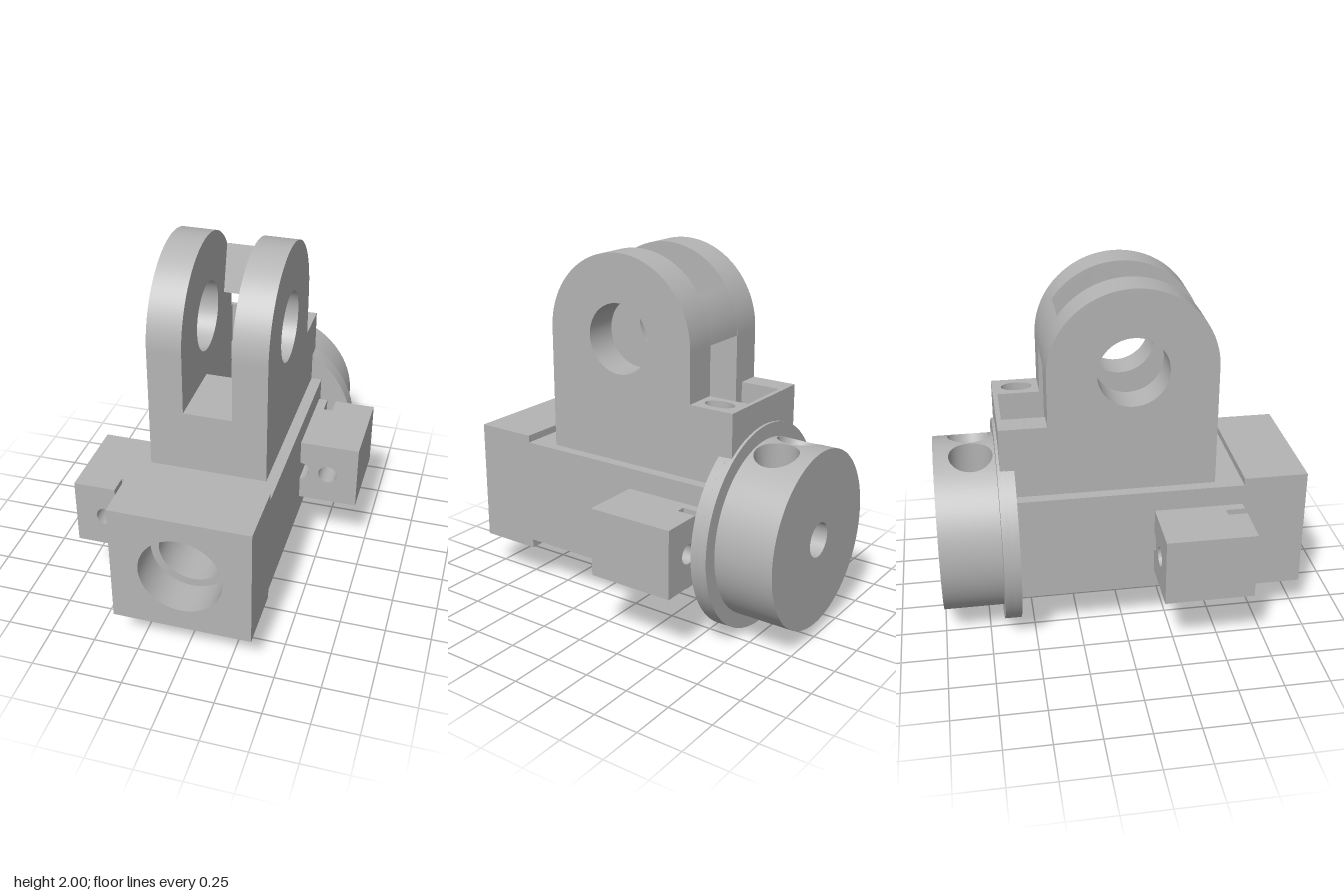
import * as THREE from 'three';
import { toCreasedNormals } from 'three/addons/utils/BufferGeometryUtils.js';

const AXIS_Y = 0.565; // height of the bore axis

export function createModel() {
  const root = new THREE.Group();
  const steel = new THREE.MeshStandardMaterial({ color: 0xb4b4b4, side: THREE.DoubleSide });
  steel.name = 'steel grey';

  const add = (name, geometry, parent = root) => {
    const mesh = new THREE.Mesh(toCreasedNormals(geometry, 0.5), steel);
    mesh.name = name;
    parent.add(mesh);
    return mesh;
  };
  const poly = (pts) => new THREE.Shape(pts.map(([x, y]) => new THREE.Vector2(x, y)));
  const rect = (x0, x1, y0, y1) => poly([[x0, y0], [x1, y0], [x1, y1], [x0, y1]]);
  const drill = (shape, x, y, rx, ry = rx) => {
    const hole = new THREE.Path();
    hole.absellipse(x, y, rx, ry, 0, Math.PI * 2, true);
    shape.holes.push(hole);
    return shape;
  };
  const raw = (shape, depth) =>
    new THREE.ExtrudeGeometry(shape, { depth, bevelEnabled: false, curveSegments: 36 });
  // Extrusions along each axis
  const alongZ = (shape, z0, z1) => raw(shape, z1 - z0).translate(0, 0, z0);
  const alongX = (shape, x0, x1) => raw(shape, x1 - x0).rotateY(Math.PI / 2).translate(x0, 0, 0); // shape is (-z, y)
  const alongY = (shape, y0, y1) => raw(shape, y1 - y0).rotateX(-Math.PI / 2).translate(0, y0, 0); // shape is (x, -z)
  const box = (x0, x1, y0, y1, z0, z1) =>
    new THREE.BoxGeometry(x1 - x0, y1 - y0, z1 - z0).translate((x0 + x1) / 2, (y0 + y1) / 2, (z0 + z1) / 2);

  // Front housing with a stepped blind bore
  const small = () => rect(-0.375, 0.375, 0.27, 0.87);
  const big = () => rect(-0.375, 0.375, 0.22, 0.91);
  add('bodyCore', alongZ(small(), 0.09, 0.3));
  add('bodyBore', alongZ(drill(small(), 0, AXIS_Y, 0.18), 0.3, 0.65));
  add('frontBlockInner', alongZ(drill(big(), 0, AXIS_Y, 0.18), 0.65, 0.8));
  add('frontBlockOuter', alongZ(drill(big(), 0, AXIS_Y, 0.225), 0.8, 1));

  // Rear body walls around the vertical duct, which flares downward
  for (const s of [-1, 1]) {
    const wall = poly([[0.13, 0.87], [0.13, 0.56], [0.22, 0.27], [0.375, 0.27], [0.375, 0.87]].map(([x, y]) => [s * x, y]));
    add('ductWall', alongZ(wall, s > 0 ? -0.43 : -0.58, 0.09));
  }
  add('ductWallRelieved', alongZ(
    poly([[0.13, 0.87], [0.13, 0.56], [0.183, 0.39], [0.375, 0.39], [0.375, 0.87]]), -0.58, -0.43));

  // Flange: two front segments beside the duct, full plate behind
  for (const s of [-1, 1]) {
    const pts = [[0.13, 0.56], [0.13, 1.03], [0.315, 1.03]];
    const a0 = Math.atan2(0.465, 0.315), a1 = Math.atan2(-0.485, 0.28);
    for (let i = 0; i <= 36; i++) {
      const a = a0 + (a1 - a0) * i / 36;
      pts.push([0.565 * Math.cos(a), AXIS_Y + 0.565 * Math.sin(a)]);
    }
    add('flangeSegment', alongZ(poly(pts.map(([x, y]) => [s * x, y])), -0.63, -0.58));
  }
  const plate = new THREE.Shape().absarc(0, AXIS_Y, 0.565, 0, Math.PI * 2);
  add('flangePlate', alongZ(drill(plate, 0, AXIS_Y, 0.095), -0.67, -0.63));

  // Rear drum: wall, end face and central hole
  const R = 0.485, cell = 0.25;
  const tube = (r, start, length) => new THREE.CylinderGeometry(r, r, 0.33, 96, 1, true, start, length)
    .rotateX(-Math.PI / 2).translate(0, AXIS_Y, -0.835);
  add('drumWall', tube(R, 2 * cell, Math.PI * 2 - 4 * cell));
  add('drumHole', tube(0.095, 0, Math.PI * 2));
  add('drumEnd', new THREE.RingGeometry(0.095, R, 96).rotateY(Math.PI).translate(0, AXIS_Y, -1));

  // Two radial scoops in the top of the drum
  for (const s of [-1, 1]) {
    const N = 64, pos = [], index = [];
    const put = (rho, phi, z) => pos.push(rho * Math.sin(phi), AXIS_Y + rho * Math.cos(phi), z);
    for (let row = 0; row < 5; row++) {
      for (let i = 0; i <= N; i++) {
        const t = i / N * Math.PI * 2, c = Math.cos(t), d = Math.sin(t), m = Math.max(Math.abs(c), Math.abs(d));
        const edgePhi = cell * c / m, edgeZ = d / m * (d > 0 ? 0.13 : 0.2);
        const holePhi = 0.237 * c, holeZ = 0.118 * d;
        const k = [0, 0.5, 1, 1, 1][row], f = row === 4 ? 0 : 1;
        put(row < 3 ? R : R - 0.22,
          s * cell + f * (edgePhi + (holePhi - edgePhi) * k),
          -0.8 + f * (edgeZ + (holeZ - edgeZ) * k));
        if (row < 4 && i < N) {
          const a = row * (N + 1) + i, b = a + N + 1;
          index.push(a, a + 1, b, a + 1, b + 1, b);
        }
      }
    }
    const scoop = new THREE.BufferGeometry();
    scoop.setAttribute('position', new THREE.Float32BufferAttribute(pos, 3));
    scoop.setIndex(index);
    add('drumScoop', scoop);
  }

  // Clevis cheeks with round tops and pin holes
  for (const x0 of [-0.315, 0.13]) {
    const cheek = new THREE.Shape();
    cheek.moveTo(-0.5, 0.87);
    cheek.lineTo(0.4, 0.87);
    cheek.lineTo(0.4, 1.54);
    cheek.absarc(-0.05, 1.545, 0.45, 0, Math.PI, false);
    cheek.closePath();
    add('clevisCheek', alongX(drill(cheek, -0.05, 1.545, 0.19), x0, x0 + 0.185));
  }
  add('clevisFloor', box(-0.13, 0.13, 0.87, 1.21, 0.09, 0.5));

  // Rear web joining the cheeks above the window, following the round back
  const web = [[0.25, 1.54], [0.4, 1.54]];
  for (let i = 1; i <= 8; i++) {
    const a = 0.616 * i / 8;
    web.push([-0.05 + 0.45 * Math.cos(a), 1.545 + 0.45 * Math.sin(a)]);
  }
  add('clevisWeb', alongX(poly(web), -0.13, 0.13));

  // Rear step: U-shaped top with an oval hole, on two feet
  const step = poly([[-0.315, 0.4], [-0.19, 0.4], [-0.19, 0.63], [0.13, 0.63], [0.13, 0.4],
    [0.315, 0.4], [0.315, 0.655], [-0.315, 0.655]]);
  add('rearStep', alongY(drill(step, 0.22, 0.52, 0.052, 0.085), 1.03, 1.27));
  add('stepFootLeft', box(0.13, 0.315, 0.87, 1.03, -0.58, -0.4));
  add('stepFootRight', box(-0.315, -0.13, 0.87, 1.03, -0.58, -0.4));

  // Side lugs, the second turned half a revolution
  for (const side of [1, -1]) {
    const lug = new THREE.Group();
    lug.name = side > 0 ? 'leftLug' : 'rightLug';
    const main = new THREE.Shape();
    main.moveTo(0.375, 0.38);
    main.lineTo(0.705, 0.38);
    main.lineTo(0.705, 0.755);
    main.lineTo(0.375, 0.755);
    main.lineTo(0.375, AXIS_Y + 0.053);
    main.absarc(0.375, AXIS_Y, 0.053, Math.PI / 2, -Math.PI / 2, true);
    main.closePath();
    add('lugBlock', alongZ(drill(main, 0.535, AXIS_Y, 0.053), -0.44, -0.06), lug);
    const outer = poly([[0.53, 0.38], [0.705, 0.38], [0.705, 0.755], [0.475, 0.755], [0.475, 0.54]]);
    add('lugOuterJaw', alongZ(drill(outer, 0.535, AXIS_Y, 0.053), -0.545, -0.44), lug);
    add('lugInnerJawTop', alongZ(
      poly([[0.375, 0.618], [0.41, 0.605], [0.425, 0.585], [0.425, 0.755], [0.375, 0.755]]), -0.545, -0.44), lug);
    add('lugInnerJawBottom', alongZ(
      poly([[0.375, 0.38], [0.415, 0.53], [0.4, 0.518], [0.375, 0.512]]), -0.545, -0.44), lug);
    if (side < 0) {
      lug.rotation.y = Math.PI;
      lug.position.z = 0.1;
    }
    root.add(lug);
  }
  return root;
}
